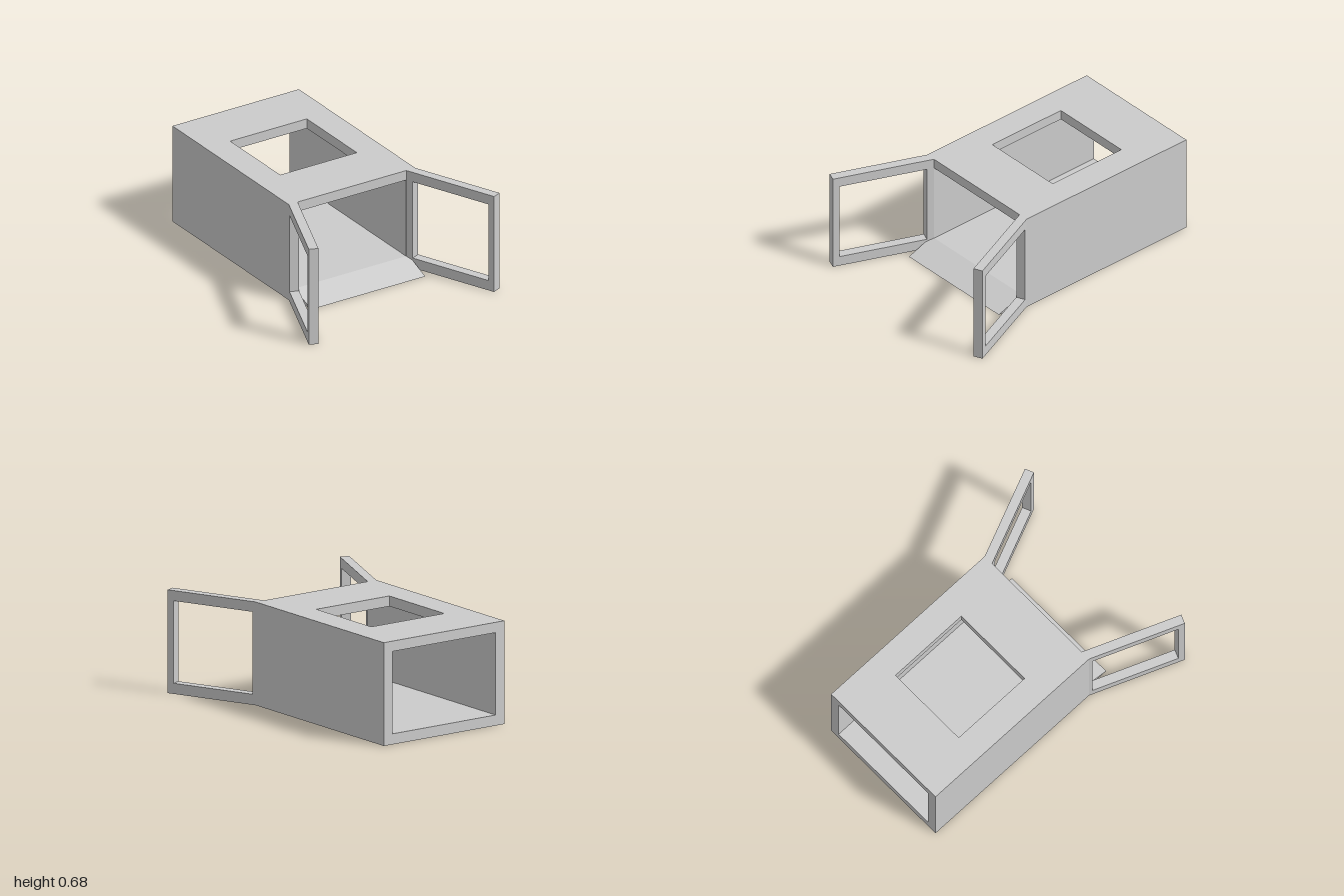
import * as THREE from 'three';

const material = new THREE.MeshStandardMaterial({ color: 0xcccccc, flatShading: true });

const H = 0.683;                       // overall height
const X0 = -0.49, X1 = 0.48;           // outer side walls
const BACK = -1, FRONT = 0.363;        // open ends of the body
const WALL = 0.07, ROOF = 0.615;       // wall thickness, underside of roof

function rect(x0, y0, x1, y1, Type = THREE.Shape) {
  return new Type([[x0, y0], [x1, y0], [x1, y1], [x0, y1]].map(p => new THREE.Vector2(...p)));
}

function add(parent, name, geometry) {
  const mesh = new THREE.Mesh(geometry, material);
  mesh.name = name;
  parent.add(mesh);
  return mesh;
}

function box(x0, y0, z0, x1, y1, z1) {
  return new THREE.BoxGeometry(x1 - x0, y1 - y0, z1 - z0)
    .translate((x0 + x1) / 2, (y0 + y1) / 2, (z0 + z1) / 2);
}

// Window frame hinged on a front corner; the hinge edge is mitred against the wall
function doorFrame(parent, name, hingeX, endX, endZ) {
  const t = 0.063;
  const dx = endX - hingeX, dz = endZ - FRONT;
  const length = Math.hypot(dx, dz);
  const side = Math.sign(dx);
  const frame = rect(0, 0, length, H);
  frame.holes.push(rect(0.022, WALL, length - 0.045, ROOF, THREE.Path));
  const geo = new THREE.ExtrudeGeometry(frame, { depth: t, bevelEnabled: false });
  if (side < 0) geo.translate(0, 0, -t);
  const pos = geo.attributes.position;
  for (let i = 0; i < pos.count; i++) {
    const inner = Math.abs(pos.getZ(i)) > t / 2;
    if (inner && pos.getX(i) < 0.001) pos.setX(i, -t * Math.abs(dx) / dz);
  }
  geo.computeVertexNormals();
  const door = add(parent, name, geo);
  door.position.set(hingeX, 0, FRONT);
  door.rotation.y = -Math.atan2(dz, dx);
}

export function createModel() {
  const model = new THREE.Group();
  model.name = 'openBoxWithDoors';

  // Floor and side walls
  add(model, 'floor', box(X0, 0, BACK, X1, WALL, FRONT));
  add(model, 'leftWall', box(X1 - WALL, WALL, BACK, X1, ROOF, FRONT));
  add(model, 'rightWall', box(X0, WALL, BACK, X0 + WALL, ROOF, FRONT));

  // Roof with a rectangular opening (shape y becomes -z)
  const roof = rect(X0, -FRONT, X1, -BACK);
  roof.holes.push(rect(-0.3, 0.028, 0.288, 0.613, THREE.Path));
  add(model, 'roof', new THREE.ExtrudeGeometry(roof, { depth: H - ROOF, bevelEnabled: false })
    .rotateX(-Math.PI / 2).translate(0, ROOF, 0));

  // Wedge ramp leading down from the floor
  const wedge = new THREE.Shape();
  wedge.moveTo(-FRONT, 0).lineTo(-FRONT, WALL).lineTo(-0.557, 0).closePath();
  add(model, 'ramp', new THREE.ExtrudeGeometry(wedge, { depth: 0.875, bevelEnabled: false })
    .rotateY(Math.PI / 2).translate(-0.445, 0, 0));

  // Splayed front frames
  doorFrame(model, 'leftDoorFrame', X1, 0.734, 0.963);
  doorFrame(model, 'rightDoorFrame', X0, -0.738, 0.976);

  return model;
}
